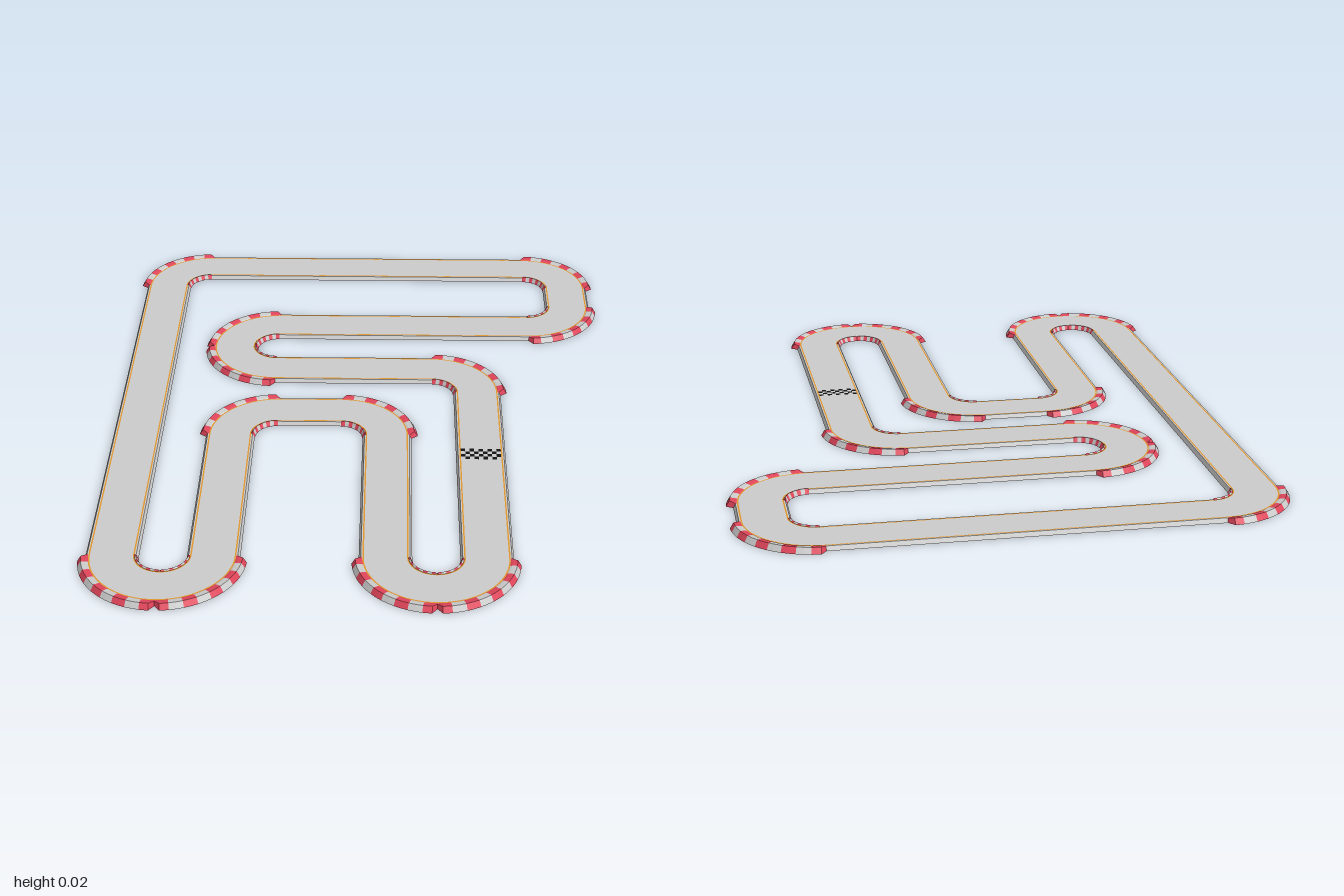
import * as THREE from 'three';
import { mergeGeometries } from 'three/addons/utils/BufferGeometryUtils.js';

const R = 0.1375;   // centre-line radius of every bend
const TOP = 0.012;  // height of the road surface
const FINISH = { x: 0.35, z0: 0.228, z1: 0.284 };

// corners of the centre line, in driving order from the finish line
const CORNERS = [
  [0.35, 0.9075], [0.075, 0.9075], [0.075, 0.02], [-0.39, 0.02], [-0.39, 0.9075], [-0.665, 0.9075],
  [-0.665, -0.9075], [0.665, -0.9075], [0.665, -0.504], [-0.4125, -0.504], [-0.4125, -0.229], [0.35, -0.229],
];

const material = (color) =>
  new THREE.MeshStandardMaterial({ color, flatShading: true, side: THREE.DoubleSide });

// direction from one point to the next
function heading(a, b) {
  const l = Math.hypot(b[0] - a[0], b[1] - a[1]);
  return [(b[0] - a[0]) / l, (b[1] - a[1]) / l];
}

// each bend gives a frame (position and right-hand normal) for t = 0..1
const BENDS = CORNERS.map((p, i) => {
  const n = CORNERS.length;
  const d1 = heading(CORNERS[(i + n - 1) % n], p);
  const d2 = heading(p, CORNERS[(i + 1) % n]);
  const turn = Math.sign(d1[0] * d2[1] - d1[1] * d2[0]); // +1 turns right
  const cx = p[0] + (d2[0] - d1[0]) * R;
  const cz = p[1] + (d2[1] - d1[1]) * R;
  const frame = (t) => {
    const a = t * Math.PI / 2;
    const dx = d1[0] * Math.cos(a) + d2[0] * Math.sin(a);
    const dz = d1[1] * Math.cos(a) + d2[1] * Math.sin(a);
    const nx = -dz, nz = dx;
    return { x: cx - nx * turn * R, z: cz - nz * turn * R, nx, nz, full: Math.min(1, t / 0.04, (1 - t) / 0.04) };
  };
  return { turn, frame };
});

// sweeps a cross-section of [offset to the right, height] along frames
function ribbon(frames, profile) {
  const pos = [], index = [];
  let m = 0;
  frames.forEach((f) => {
    const section = typeof profile === 'function' ? profile(f) : profile;
    m = section.length;
    section.forEach(([o, y]) => pos.push(f.x + f.nx * o, y, f.z + f.nz * o));
  });
  for (let i = 0; i < frames.length - 1; i++) {
    for (let j = 0; j < m - 1; j++) {
      const a = i * m + j, b = a + 1, c = a + m, d = c + 1;
      index.push(a, b, c, b, d, c);
    }
  }
  const g = new THREE.BufferGeometry();
  g.setAttribute('position', new THREE.Float32BufferAttribute(pos, 3));
  g.setIndex(index);
  const flat = g.toNonIndexed();
  flat.computeVertexNormals();
  return flat;
}

// mirrors a right-hand cross-section to the left, keeping the face order
const onSide = (section, side) =>
  side > 0 ? section : section.map(([o, y]) => [-o, y]).reverse();

// kerb sections: plain road edge, wide outer kerb, narrow inner kerb
const EDGE = [[0.0625, TOP], [0.064, TOP], [0.0665, TOP], [0.0725, 0]];
const OUTER = [[0.0625, TOP], [0.067, 0.014], [0.082, 0.016], [0.092, 0]];
const INNER = [[0.0625, TOP], [0.0645, 0.0145], [0.067, 0.0155], [0.074, 0]];

function kerb(bend, target, side) {
  const blocks = 9;
  const byColour = [[], []];
  const section = (f) => onSide(EDGE.map(([o, y], i) => [
    o + (target[i][0] - o) * f.full,
    y + (target[i][1] - y) * f.full,
  ]), side);
  for (let k = 0; k < blocks; k++) {
    const ts = [k, k + 0.5, k + 1].map((v) => v / blocks);
    if (k === 0) ts.splice(1, 0, 0.04);
    if (k === blocks - 1) ts.splice(2, 0, 0.96);
    byColour[k % 2].push(ribbon(ts.map(bend.frame), section));
  }
  return byColour.map((list) => mergeGeometries(list));
}

export function createModel() {
  const model = new THREE.Group();
  model.name = 'raceTrack';
  const grey = material(0xcccccc);
  const orange = material(0xe0962e);
  const red = material(0xe0455a);
  const white = material(0xe6e6e6);
  const black = material(0x111111);

  const add = (name, geometry, mat, parent = model) => {
    const mesh = new THREE.Mesh(geometry, mat);
    mesh.name = name;
    parent.add(mesh);
  };

  // centre line from the front of the finish line round to its back
  const frames = [{ x: FINISH.x, z: FINISH.z1, nx: -1, nz: 0 }];
  BENDS.forEach((b) => {
    for (let i = 0; i <= 18; i++) frames.push(b.frame(i / 18));
  });
  frames.push({ x: FINISH.x, z: FINISH.z0, nx: -1, nz: 0 });
  const loop = [...frames, frames[0]];

  // road surface, left open at the finish line
  add('roadSurface', ribbon(frames, [[-0.0585, TOP], [0.0585, TOP]]), grey);

  // edge lines and sloping side walls
  [[1, 'right'], [-1, 'left']].forEach(([side, label]) => {
    add(label + 'EdgeLine', ribbon(loop, onSide([[0.0585, TOP], [0.0625, TOP]], side)), orange);
    add(label + 'Wall', ribbon(loop, onSide([[0.0625, TOP], [0.0665, TOP], [0.0725, 0]], side)), grey);
  });

  // striped kerbs on both sides of every bend
  BENDS.forEach((bend, i) => {
    const group = new THREE.Group();
    group.name = 'bendKerbs' + (i + 1);
    [['outerKerb', OUTER, -bend.turn], ['innerKerb', INNER, bend.turn]].forEach(([name, section, side]) => {
      const [redBlocks, whiteBlocks] = kerb(bend, section, side);
      add(name + 'Red', redBlocks, red, group);
      add(name + 'White', whiteBlocks, white, group);
    });
    model.add(group);
  });

  // chequered finish line filling the gap in the road
  const cols = 9, rows = 4;
  const w = 0.117 / cols, d = (FINISH.z1 - FINISH.z0) / rows;
  const squares = [[], []];
  for (let c = 0; c < cols; c++) {
    for (let r = 0; r < rows; r++) {
      const g = new THREE.PlaneGeometry(w, d).rotateX(-Math.PI / 2);
      g.translate(FINISH.x + (c - (cols - 1) / 2) * w, TOP, FINISH.z0 + (r + 0.5) * d);
      squares[(c + r) % 2].push(g);
    }
  }
  add('finishLineBlack', mergeGeometries(squares[0]), black);
  add('finishLineWhite', mergeGeometries(squares[1]), white);

  return model;
}
